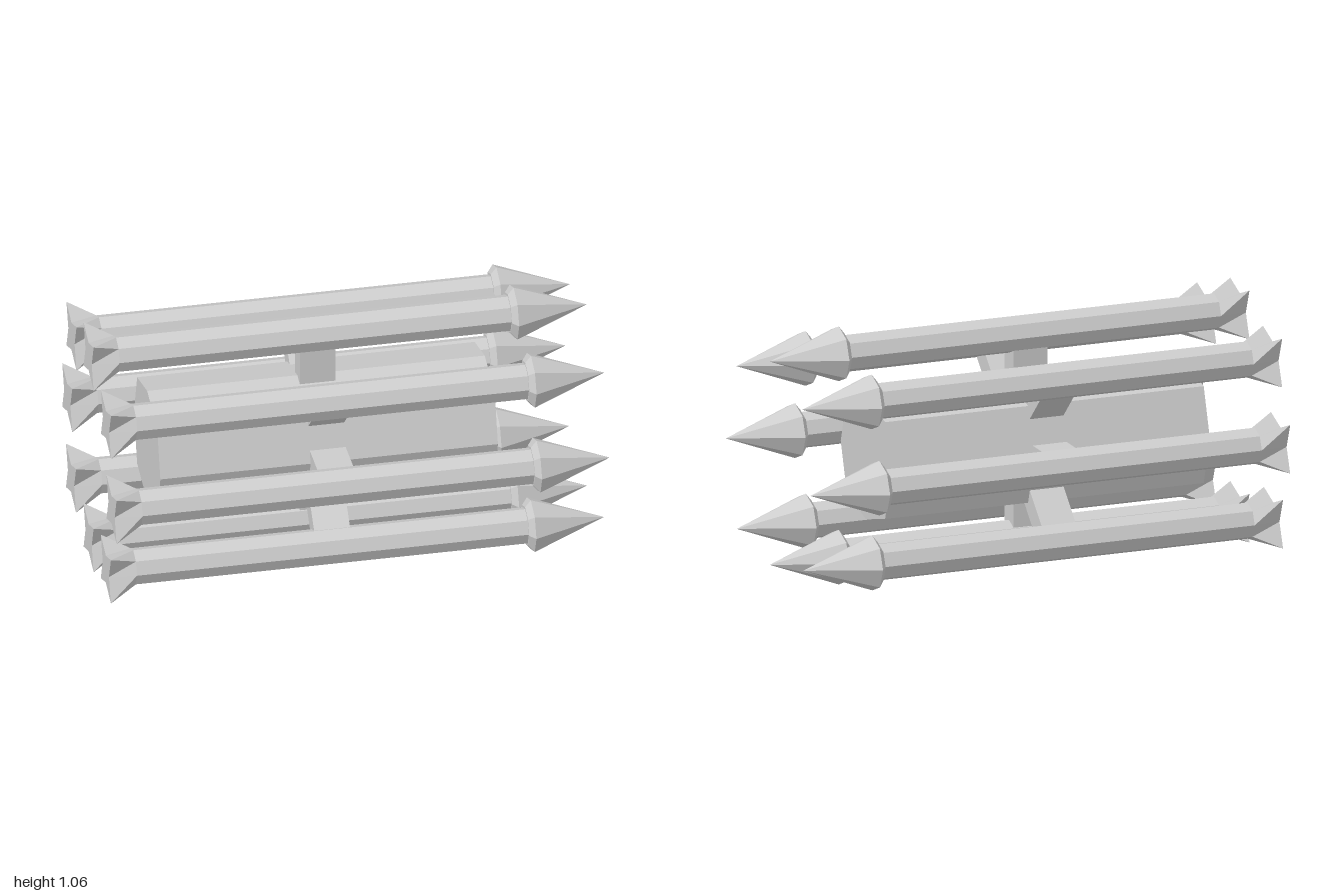
import * as THREE from 'three';

// Octagonal loft along x. Each section: [x, vertical radius, diagonal radius, side radius]
function loftOctagon(sections) {
  const N = 8, pos = [];
  const point = ([x, up, diagonal, side], k) => {
    const r = k % 2 ? diagonal : k % 4 ? side : up;
    const a = (k / N) * Math.PI * 2;
    return [x, r * Math.cos(a), r * Math.sin(a)];
  };
  const tri = (...corners) => corners.forEach((c) => pos.push(...c));
  const last = sections[sections.length - 1];
  for (let k = 0; k < N; k++) {
    for (let i = 0; i < sections.length - 1; i++) {
      const s = sections[i], t = sections[i + 1];
      tri(point(s, k), point(s, k + 1), point(t, k));
      if (t[1] > 0) tri(point(s, k + 1), point(t, k + 1), point(t, k));
    }
    // End caps
    tri([sections[0][0], 0, 0], point(sections[0], k + 1), point(sections[0], k));
    if (last[1] > 0) tri([last[0], 0, 0], point(last, k), point(last, k + 1));
  }
  const geometry = new THREE.BufferGeometry();
  geometry.setAttribute('position', new THREE.Float32BufferAttribute(pos, 3));
  geometry.computeVertexNormals();
  return geometry;
}

const ring = (x, r) => [x, r, r, r];

export function createModel() {
  const model = new THREE.Group();
  model.name = 'rocketCluster';
  const material = new THREE.MeshStandardMaterial({ color: 0xcccccc, flatShading: true });
  const centre = new THREE.Vector3(0, 0.509, -0.013);

  const add = (parent, name, geometry) => {
    const mesh = new THREE.Mesh(geometry, material);
    mesh.name = name;
    parent.add(mesh);
    return mesh;
  };

  // Central drum
  const drum = add(model, 'drum', loftOctagon([
    [-0.765, 0.252, 0.28, 0.262],
    [0.59, 0.252, 0.28, 0.262],
  ]));
  drum.position.copy(centre);

  // Rocket pieces: four-pointed flared tail, straight body, pointed nose with a collar
  const tail = loftOctagon([[-1, 0.062, 0.141, 0.062], ring(-0.89, 0.074)]);
  const body = loftOctagon([ring(-0.89, 0.074), ring(0.69, 0.074)]);
  const nose = loftOctagon([ring(0.683, 0.083), ring(0.706, 0.112), ring(1, 0)]);

  // Rocket axes as [y, z], going round the drum from the top towards the front
  const axes = [
    [0.947, -0.013], [0.837, 0.331], [0.512, 0.441], [0.172, 0.328],
    [0.115, -0.013], [0.183, -0.361], [0.509, -0.435], [0.84, -0.352],
  ];
  axes.forEach(([y, z], i) => {
    const rocket = new THREE.Group();
    rocket.name = `rocket${i + 1}`;
    rocket.position.set(0, y, z);
    add(rocket, 'tail', tail);
    add(rocket, 'body', body);
    add(rocket, 'nose', nose);
    model.add(rocket);

    // Strut joining the rocket to the drum
    const reach = Math.hypot(y - centre.y, z - centre.z);
    const inner = 0.2, outer = reach - 0.03;
    const angle = Math.atan2(z - centre.z, y - centre.y);
    const width = i % 2 ? 0.087 : 0.097;
    const strut = add(model, `strut${i + 1}`, new THREE.BoxGeometry(0.144, outer - inner, width));
    const mid = (inner + outer) / 2;
    strut.position.set(-0.09, centre.y + mid * Math.cos(angle), centre.z + mid * Math.sin(angle));
    strut.rotation.x = angle;
  });

  return model;
}
